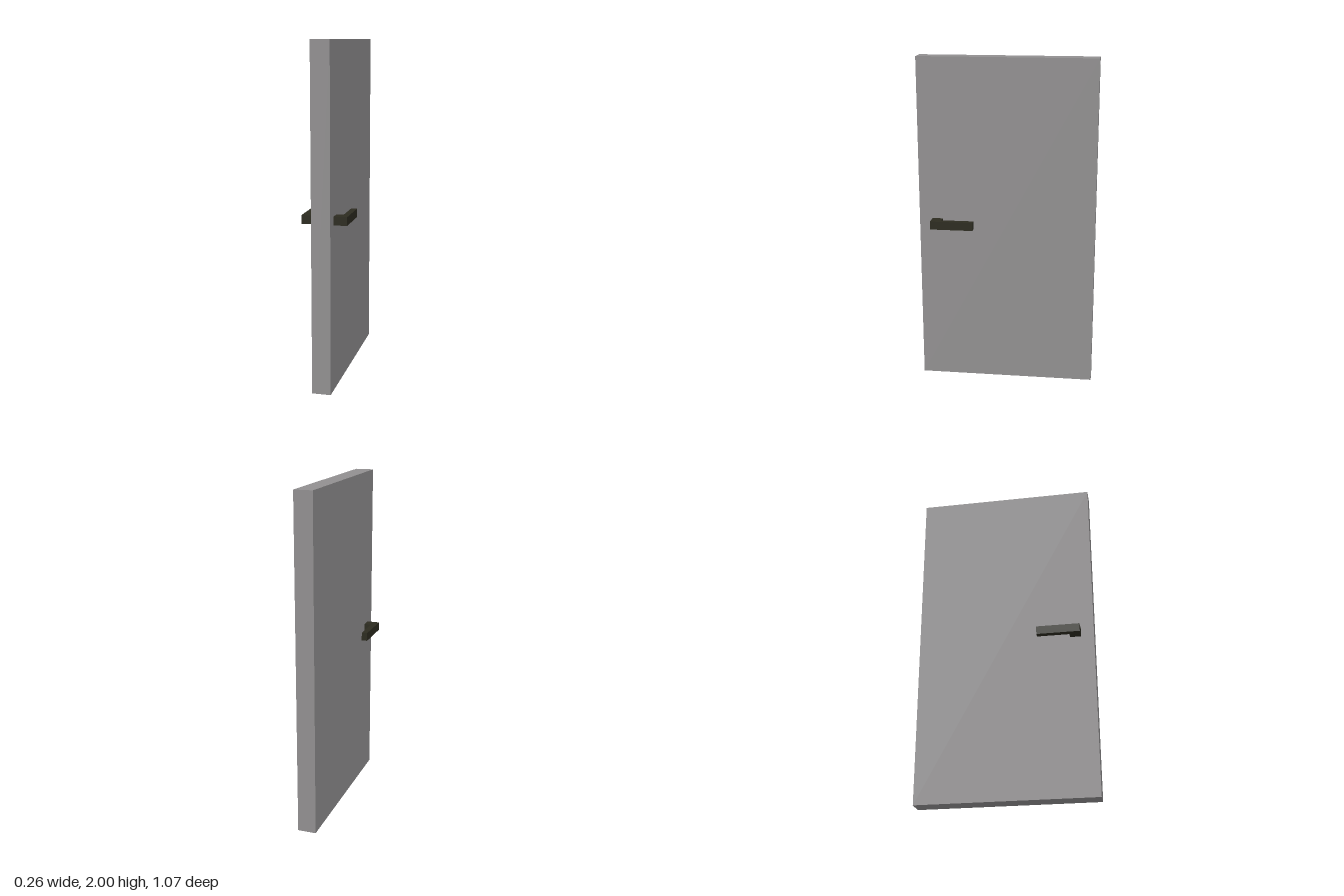
import * as THREE from 'three';

export function createModel() {
  const model = new THREE.Group();
  model.name = 'door';

  const panelGrey = new THREE.MeshStandardMaterial({ color: 0x918f90 });
  panelGrey.name = 'panelGrey';
  const handleDark = new THREE.MeshStandardMaterial({ color: 0x2c2b20 });
  handleDark.name = 'handleDark';

  // Plain slab standing on the floor
  const panel = new THREE.Mesh(new THREE.BoxGeometry(0.11, 2, 1.066), panelGrey);
  panel.name = 'doorPanel';
  panel.position.y = 1;
  model.add(panel);

  // L-shaped lever: a stem out of the panel and a bar running back along it
  const leverOutline = [
    [0.055, 0.455], [0.132, 0.455], [0.132, 0.197],
    [0.097, 0.197], [0.097, 0.39], [0.055, 0.39],
  ];
  for (const side of [1, -1]) {
    const shape = new THREE.Shape(leverOutline.map(([x, z]) => new THREE.Vector2(side * x, z)));
    const geometry = new THREE.ExtrudeGeometry(shape, { depth: 0.05, bevelEnabled: false });
    geometry.rotateX(Math.PI / 2); // outline lies flat, thickness goes down
    const lever = new THREE.Mesh(geometry, handleDark);
    lever.name = side > 0 ? 'leftHandle' : 'rightHandle';
    lever.position.y = 1.027;
    model.add(lever);
  }

  return model;
}
